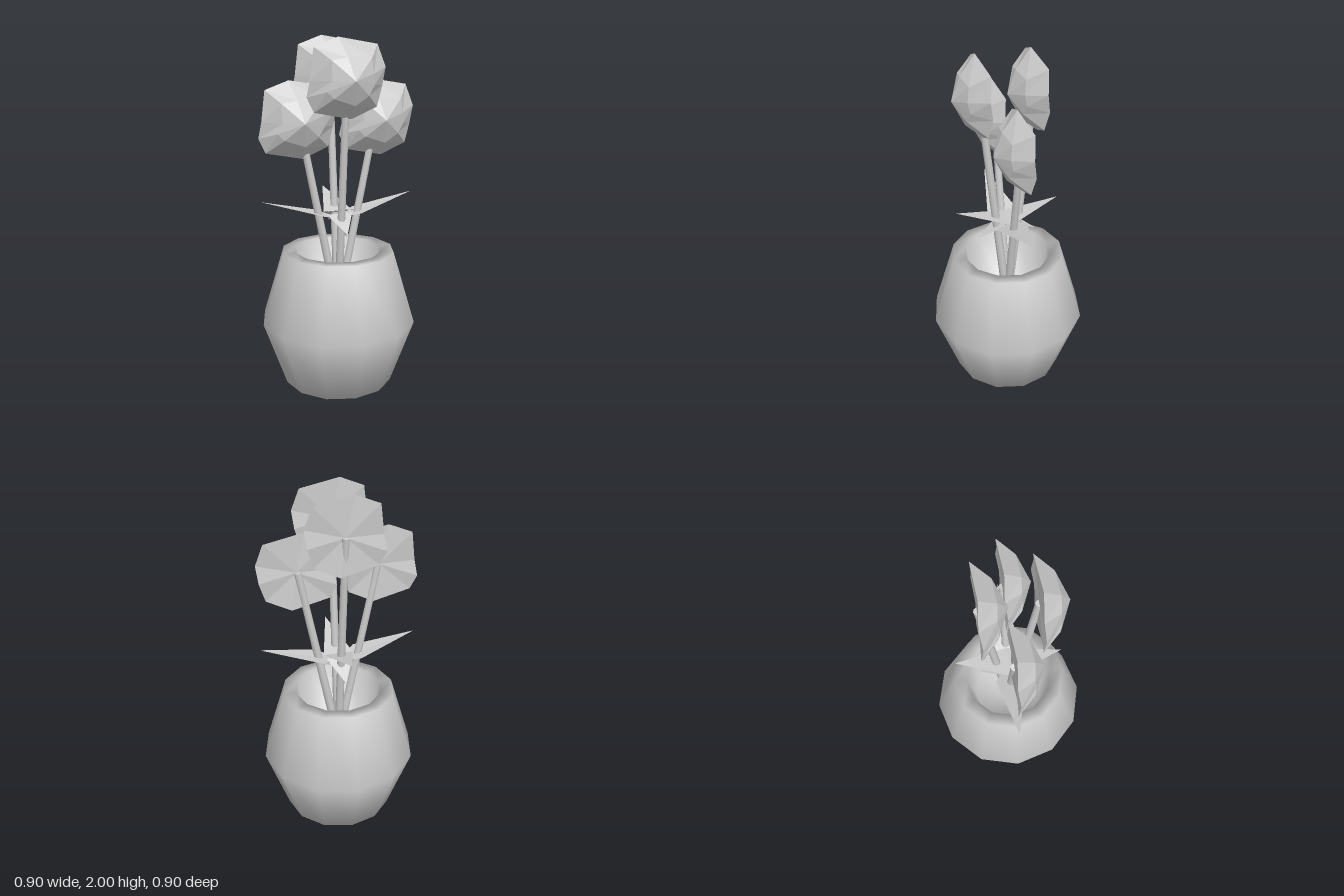
import * as THREE from 'three';

const clay = new THREE.MeshStandardMaterial({ color: 0xcccccc, side: THREE.DoubleSide });
clay.name = 'pale grey';

const v = (x, y, z) => new THREE.Vector3(x, y, z);

function addMesh(group, name, geometry) {
  const mesh = new THREE.Mesh(geometry, clay);
  mesh.name = name;
  group.add(mesh);
  return mesh;
}

// Unindexed triangles, so every facet stays flat
function facets(triangles) {
  const g = new THREE.BufferGeometry().setFromPoints(triangles.flat());
  g.computeVertexNormals();
  return g;
}

// Faceted bloom: irregular rim, raised middle ring, pointed centre, flat back
function bloomGeometry() {
  const rim = [[0.217, 0.06], [0.175, 0.18], [-0.05, 0.22], [-0.18, 0.17], [-0.205, 0],
    [-0.22, -0.09], [-0.185, -0.17], [0.03, -0.215], [0.17, -0.15], [0.205, -0.04]];
  const n = rim.length;
  const outer = rim.map(([x, y], i) => v(x, y, i % 2 ? -0.01 : 0.005));
  const middle = rim.map(([x, y], i) => {
    const s = i % 2 ? 0.62 : 0.54;
    return v(x * s, y * s, i % 2 ? 0.085 : 0.095);
  });
  const apex = v(0, 0, 0.15), back = v(0, 0, 0);
  const tris = [];
  for (let i = 0; i < n; i++) {
    const j = (i + 1) % n;
    tris.push([apex, middle[i], middle[j]]);
    tris.push([middle[i], outer[i], outer[j]], [middle[i], outer[j], middle[j]]);
    tris.push([back, outer[j], outer[i]]);
  }
  return facets(tris);
}

// Tapered round stem between two points
function stemGeometry(from, to) {
  const dir = to.clone().sub(from);
  const g = new THREE.CylinderGeometry(0.02, 0.025, dir.length(), 8);
  g.applyQuaternion(new THREE.Quaternion().setFromUnitVectors(v(0, 1, 0), dir.normalize()));
  const mid = from.clone().add(to).multiplyScalar(0.5);
  return g.translate(mid.x, mid.y, mid.z);
}

export function createModel() {
  const model = new THREE.Group();
  model.name = 'flowerVase';

  // Twelve-sided vase with a hollow mouth
  const profile = [[0, 0], [0.315, 0], [0.45, 0.38], [0.325, 0.795], [0.25, 0.795], [0.2, 0.5], [0, 0.5]]
    .map(([r, y]) => new THREE.Vector2(r, y));
  addMesh(model, 'vase', new THREE.LatheGeometry(profile, 12));

  // Four flowers: bloom back centre, and where its stem ends
  const bloom = bloomGeometry();
  const flowers = [
    ['front', 0, 1.78, 0.15], ['back', 0, 1.78, -0.15],
    ['left', 0.23, 1.55, 0], ['right', -0.23, 1.55, 0],
  ];
  for (const [name, x, y, z] of flowers) {
    const flower = new THREE.Group();
    flower.name = name + 'Flower';
    addMesh(flower, name + 'Bloom', bloom).position.set(x, y, z);
    const foot = v(x * 0.06, 0.5, z * 0.06);
    addMesh(flower, name + 'Stem', stemGeometry(foot, v(x * 0.97, y, z)));
    model.add(flower);
  }

  // Leaves around the stems, mirrored front to back and side to side
  for (const s of [1, -1]) {
    const side = s > 0 ? 'left' : 'right', end = s > 0 ? 'front' : 'back';
    const base = v(0, 0.985, 0), tip = v(s * 0.45, 1.11, 0);
    const a = v(s * 0.11, 1.02, 0.085 * s), b = v(s * 0.11, 1.02, -0.085 * s);
    addMesh(model, side + 'Leaf', facets([[base, a, tip], [base, tip, b]]));
    addMesh(model, end + 'UpperLeaf', facets([
      [v(-s * 0.085, 1.025, 0), v(0, 1.11, s * 0.3), v(s * 0.085, 1.025, 0)]]));
    addMesh(model, end + 'LowerLeaf', facets([
      [v(-s * 0.075, 1.015, s * 0.03), v(0, 0.925, s * 0.17), v(s * 0.075, 1.015, s * 0.03)]]));
  }
  return model;
}
